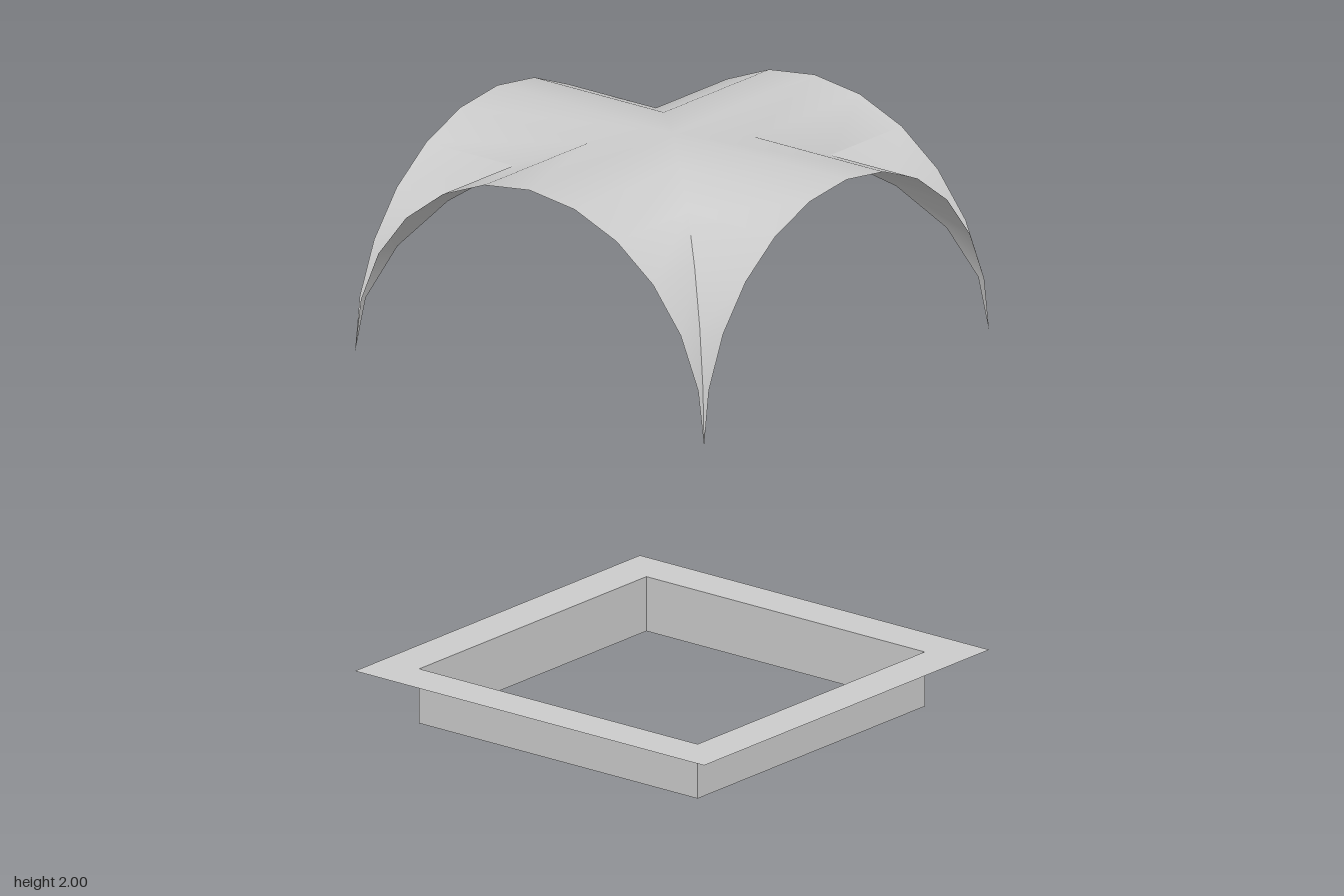
import * as THREE from 'three';
import { mergeGeometries, toCreasedNormals } from 'three/addons/utils/BufferGeometryUtils.js';

const HALF = 0.73;      // half width of vault and flange
const RISE = 0.717;     // height of the vault arches
const TOP = 2;          // crown height
const OPENING = 0.582;  // half width of the collar
const COLLAR = 0.187;   // collar height
const STEPS = 6;        // arch segments per side

const material = new THREE.MeshStandardMaterial({ color: 0xcccccc, side: THREE.DoubleSide });

// Four copies of a geometry turned about the vertical axis
function fourWays(geometry) {
  const copies = [0, 1, 2, 3].map((i) => geometry.clone().rotateY((i * Math.PI) / 2));
  return mergeGeometries(copies);
}

// One bay of the groin vault: straight strips from the diagonal groins out to the arch
function vaultBay() {
  const positions = [];
  const rib = (i) => {
    const a = (i / STEPS) * (Math.PI / 2);
    const x = HALF * Math.sin(a);
    const y = TOP - RISE * (1 - Math.cos(a));
    return { inner: [x, y, Math.abs(x)], outer: [x, y, HALF] };
  };
  for (let i = -STEPS; i < STEPS; i++) {
    const p = rib(i);
    const q = rib(i + 1);
    // the strips at the feet taper to a point
    if (i > -STEPS) positions.push(...p.inner, ...p.outer, ...q.outer);
    if (i < STEPS - 1) positions.push(...p.inner, ...q.outer, ...q.inner);
    if (i === -STEPS) continue;
  }
  const geometry = new THREE.BufferGeometry();
  geometry.setAttribute('position', new THREE.Float32BufferAttribute(positions, 3));
  return geometry;
}

function square(path, r) {
  path.moveTo(-r, -r);
  path.lineTo(r, -r);
  path.lineTo(r, r);
  path.lineTo(-r, r);
  path.closePath();
  return path;
}

export function createModel() {
  const group = new THREE.Group();
  const add = (name, geometry) => {
    const mesh = new THREE.Mesh(geometry, material);
    mesh.name = name;
    group.add(mesh);
  };

  // Cross vault, smooth at the crown and creased towards the feet
  add('crossVault', toCreasedNormals(fourWays(vaultBay()), Math.PI / 4));

  // Thin flat flange around the opening
  const ring = square(new THREE.Shape(), HALF);
  ring.holes.push(square(new THREE.Path(), OPENING));
  add('flange', new THREE.ShapeGeometry(ring).rotateX(-Math.PI / 2).translate(0, COLLAR, 0));

  // Upright collar walls below the flange
  const wall = new THREE.PlaneGeometry(2 * OPENING, COLLAR).translate(0, COLLAR / 2, OPENING);
  add('collarWalls', fourWays(wall));

  return group;
}
